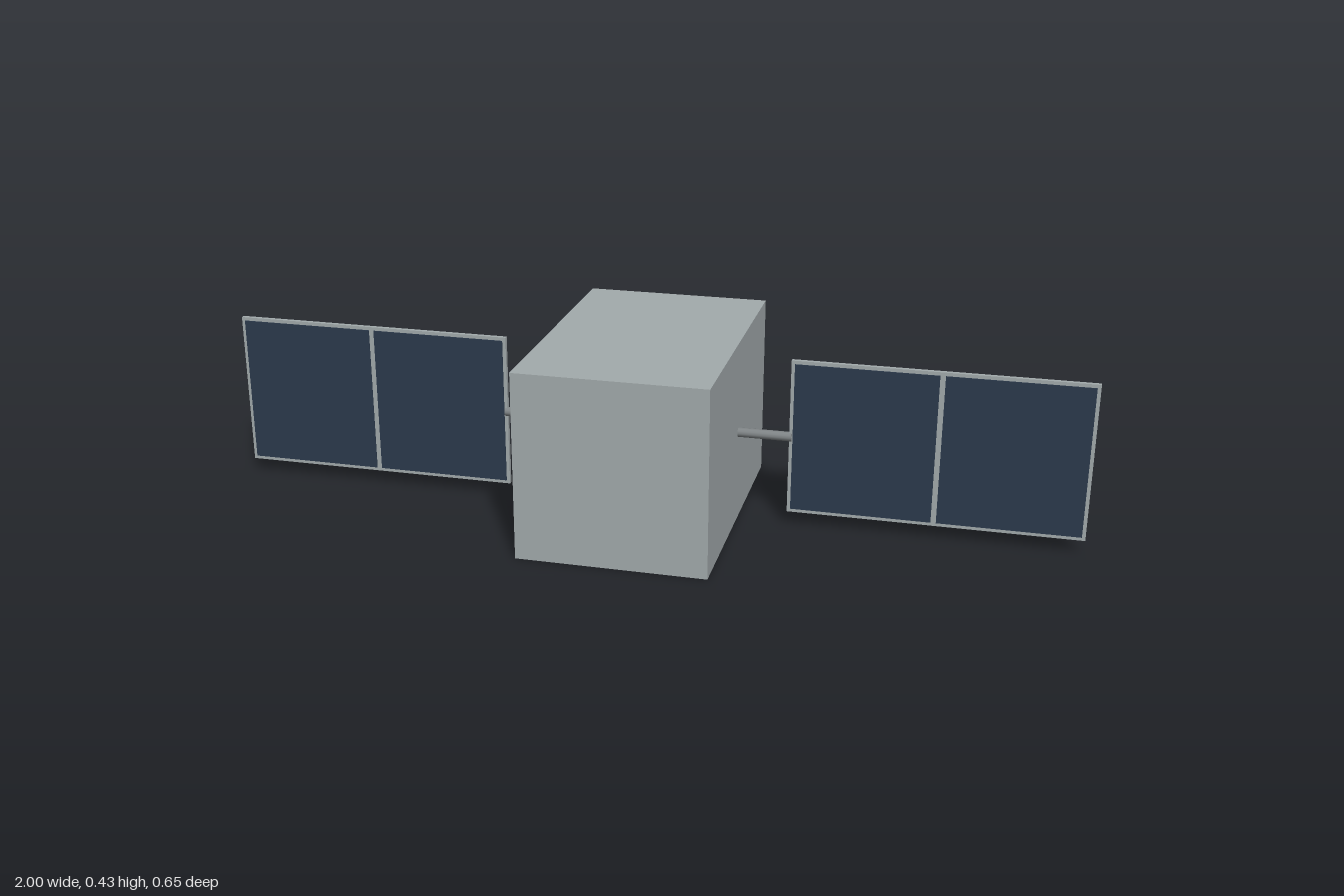
import * as THREE from 'three';

export function createModel() {
  const satellite = new THREE.Group();
  satellite.name = 'satellite';

  const grey = new THREE.MeshStandardMaterial({ color: 0xa3abad });
  grey.name = 'hull grey';
  const steel = new THREE.MeshStandardMaterial({ color: 0x7f8486 });
  steel.name = 'boom grey';
  const navy = new THREE.MeshStandardMaterial({ color: 0x2c3a4d });
  navy.name = 'solar cell navy';

  const midY = 0.2165;
  const add = (parent, name, geometry, material, x, y, z) => {
    const mesh = new THREE.Mesh(geometry, material);
    mesh.name = name;
    mesh.position.set(x, y, z);
    parent.add(mesh);
    return mesh;
  };

  // Main body
  add(satellite, 'body', new THREE.BoxGeometry(0.433, 0.433, 0.65), grey, 0, midY, 0);

  // Solar wings, one on each side
  for (const side of [-1, 1]) {
    const wing = new THREE.Group();
    wing.name = side > 0 ? 'leftWing' : 'rightWing';
    satellite.add(wing);

    // Boom joining body and panel
    const boom = add(wing, 'boom', new THREE.CylinderGeometry(0.011, 0.011, 0.13, 12), steel,
      side * 0.275, midY, 0);
    boom.rotation.z = Math.PI / 2;

    // Backing panel, leaving a thin frame around the cells
    add(wing, 'panel', new THREE.BoxGeometry(0.666, 0.366, 0.01), grey, side * 0.667, midY, -0.001);

    // Two dark cells on the front
    for (const offset of [-0.1655, 0.1655])
      add(wing, 'solarCell', new THREE.BoxGeometry(0.319, 0.35, 0.002), navy,
        side * 0.667 + offset, midY, 0.005);
  }
  return satellite;
}
